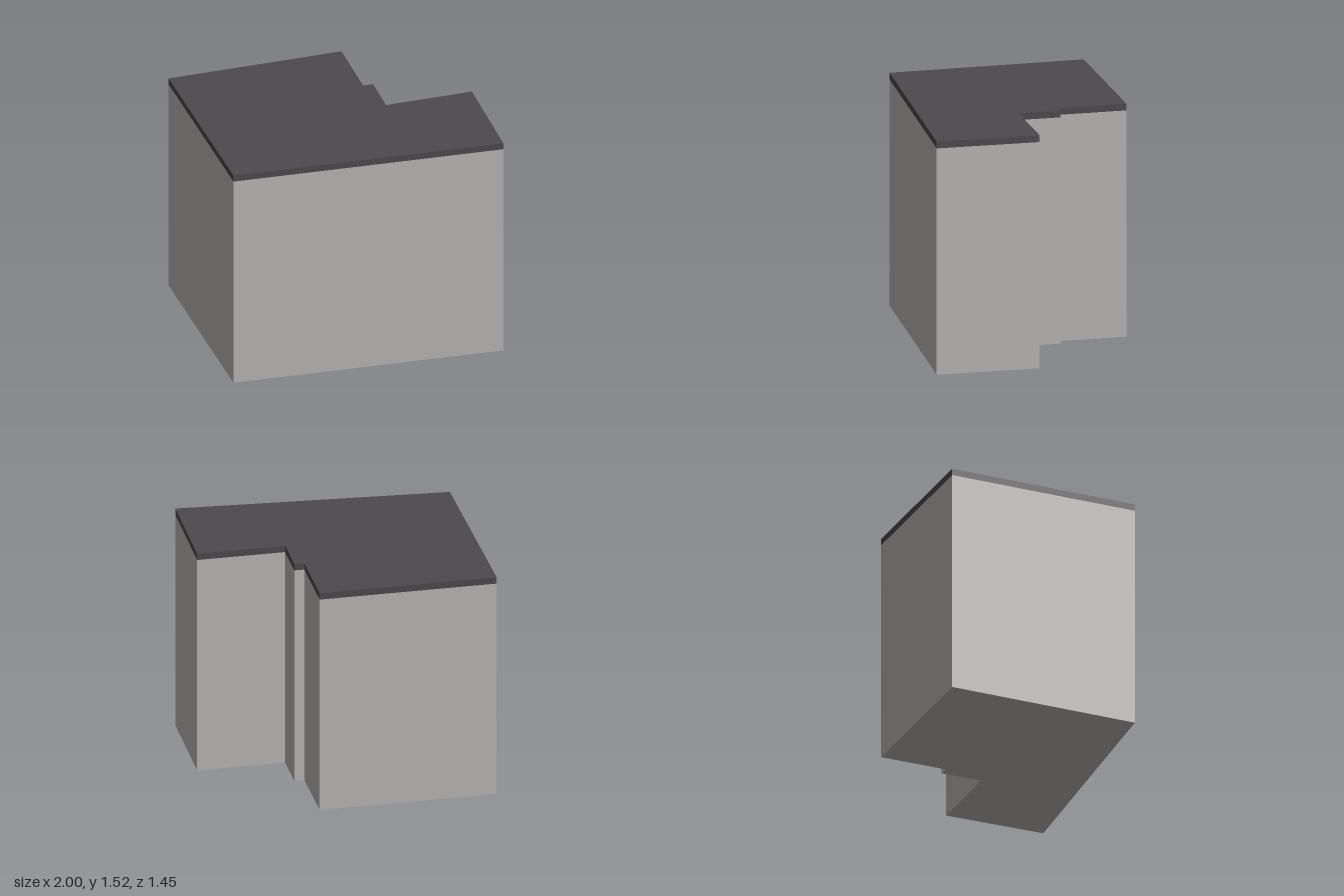
import * as THREE from 'three';

const WALL_TOP = 1.473;
const ROOF_TOP = 1.517;

// Footprint corners as [x, z]
const FOOTPRINT = [
  [-1, -0.52], [0.12, -0.725], [0.207, -0.288], [0.27, -0.3],
  [0.322, -0.033], [0.878, -0.135], [1, 0.522], [-0.735, 0.72],
];

// Upright prism over the footprint between two heights
function prism(name, bottom, top, material) {
  const shape = new THREE.Shape(FOOTPRINT.map(([x, z]) => new THREE.Vector2(x, -z)));
  const geometry = new THREE.ExtrudeGeometry(shape, { depth: top - bottom, bevelEnabled: false });
  geometry.rotateX(-Math.PI / 2);
  geometry.translate(0, bottom, 0);
  const mesh = new THREE.Mesh(geometry, material);
  mesh.name = name;
  return mesh;
}

export function createModel() {
  const wallMaterial = new THREE.MeshStandardMaterial({ color: 0xbab8b6 });
  wallMaterial.name = 'wall grey';
  const roofMaterial = new THREE.MeshStandardMaterial({ color: 0x4e494d });
  roofMaterial.name = 'roof charcoal';

  const building = new THREE.Group();
  building.name = 'building';
  building.add(
    prism('walls', 0, WALL_TOP, wallMaterial),
    prism('roofSlab', WALL_TOP, ROOF_TOP, roofMaterial), // flush flat roof
  );
  return building;
}
